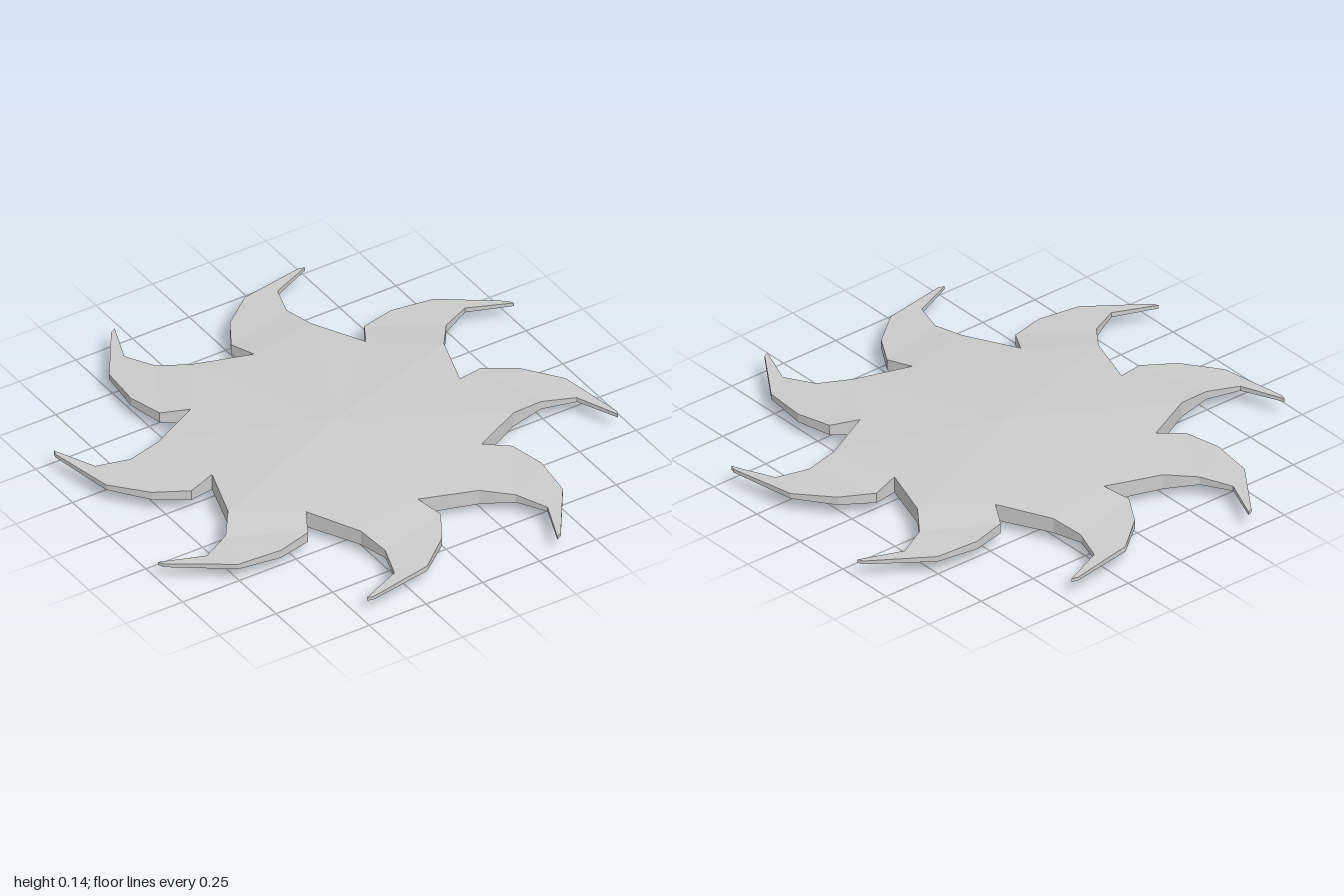
import * as THREE from 'three';

const ARMS = 8;
const MID = 0.072; // height of the middle plane

// One arm, notch to tip and back: [x, z, half thickness]
const ARM = [
  [0.55, -0.005, 0.034],
  [0.66, -0.035, 0.021],
  [0.785, 0.04, 0.017],
  [0.897, 0.178, 0.011],
  [0.947, 0.448, 0.007],
  [0.939, 0.472, 0.007],
  [0.866, 0.303, 0.01],
  [0.737, 0.26, 0.017],
  [0.602, 0.28, 0.031],
];
// Faces of one sector: index 9 is the next notch, 10 the hub centre
const FACES = [
  [10, 0, 8], [10, 8, 9],
  [0, 1, 8], [1, 7, 8], [1, 2, 7], [2, 3, 7], [3, 6, 7], [3, 4, 6], [4, 5, 6],
];

function rotated([x, z, h], angle) {
  const c = Math.cos(angle), s = Math.sin(angle);
  return [x * c - z * s, x * s + z * c, h];
}

function sectorGeometry() {
  const points = [...ARM, rotated(ARM[0], (Math.PI * 2) / ARMS), [0, 0, 0.072]];
  const top = points.map(([x, z, h]) => [x, MID + h, z]);
  const bottom = points.map(([x, z, h]) => [x, MID - h, z]);
  const positions = [];
  const tri = (a, b, c) => positions.push(...a, ...b, ...c);

  // Upper and lower faces
  for (const [a, b, c] of FACES) {
    tri(top[a], top[c], top[b]);
    tri(bottom[a], bottom[b], bottom[c]);
  }
  // Rim wall
  for (let i = 0; i < ARM.length; i++) {
    tri(top[i], top[i + 1], bottom[i + 1]);
    tri(top[i], bottom[i + 1], bottom[i]);
  }

  const geometry = new THREE.BufferGeometry();
  geometry.setAttribute('position', new THREE.Float32BufferAttribute(positions, 3));
  geometry.computeVertexNormals();
  return geometry;
}

export function createModel() {
  const group = new THREE.Group();
  group.name = 'throwingStar';
  const material = new THREE.MeshStandardMaterial({ color: 0xcccccc, flatShading: true });
  const geometry = sectorGeometry();

  // Curved blades, each with its slice of the hub
  for (let i = 0; i < ARMS; i++) {
    const blade = new THREE.Mesh(geometry, material);
    blade.name = `blade${i + 1}`;
    blade.rotation.y = (-i * Math.PI * 2) / ARMS;
    group.add(blade);
  }
  return group;
}
